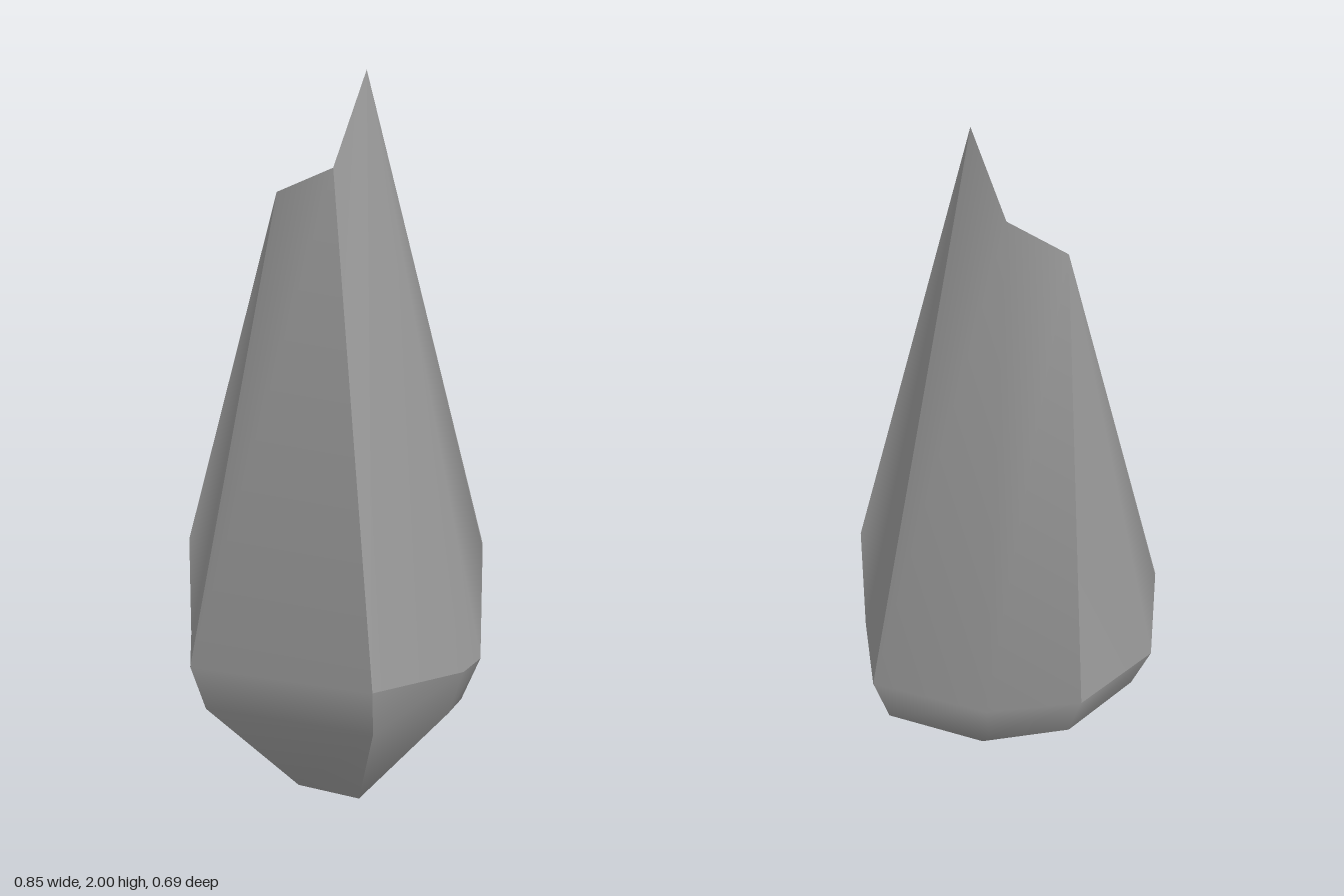
import * as THREE from 'three';

const v = (x, y, z) => new THREE.Vector3(x, y, z);

export function createModel() {
  const group = new THREE.Group();
  group.name = 'crystal';
  const material = new THREE.MeshStandardMaterial({ color: 0x969696 });

  // Widest level [x, z], counter-clockwise from the front
  const girdle = [
    [0.203, 0.345], [0.402, 0.115], [0.425, -0.01], [0.34, -0.28],
    [0, -0.348], [-0.257, -0.265], [-0.427, -0.01], [-0.332, 0.27],
  ].map(([x, z]) => v(x, 0.39, z));
  // Narrower level below it
  const lower = [
    [0.2, 0.325], [0.36, 0.11], [0.372, -0.01], [0.3, -0.265],
    [0, -0.312], [-0.22, -0.24], [-0.372, 0], [-0.295, 0.25],
  ].map(([x, z]) => v(x, 0.265, z));

  // Thin upright ridges at the two side corners: [edge on side i - 1, edge on side i]
  const ridges = {
    2: [v(0.425, 0.72, -0.006), v(0.425, 0.72, -0.014)],
    6: [v(-0.427, 0.675, -0.014), v(-0.427, 0.675, -0.006)],
  };

  // Broken tip
  const apex = v(0.088, 2, -0.025);
  const notch = v(0, 1.74, -0.008);
  const chip = v(-0.165, 1.67, -0.027);
  const tips = [apex, apex, apex, notch, chip, chip, chip, notch];

  // Small triangular foot
  const footA = v(0.115, 0, 0.14);
  const footB = v(0.07, 0, -0.035);
  const footC = v(-0.075, 0, 0.09);
  const feet = [footA, footA, footA, footB, footB, footC, footC, footC];

  const n = girdle.length;

  // Triangles from one girdle side up to the tip
  const upperSide = (i) => {
    const j = (i + 1) % n;
    const tris = [[girdle[i], girdle[j], tips[i]]];
    if (ridges[j]) tris.push([girdle[j], ridges[j][0], tips[i]]);
    if (ridges[i]) tris.push([girdle[i], tips[i], ridges[i][1]]);
    return tris;
  };

  // Sliver between two tip points; it takes on the shading of its facet
  const sliver = (i) => [girdle[i], tips[i], tips[(i + n - 1) % n]];

  // Triangles from one girdle side down to the foot
  const lowerSide = (i) => {
    const j = (i + 1) % n;
    return [
      [lower[i], lower[j], girdle[j]], [lower[i], girdle[j], girdle[i]],
      [feet[i], feet[j], lower[j]], [feet[i], lower[j], lower[i]],
    ];
  };

  // Each facet is smooth inside (normals weighted by corner angle), sharp at its border
  const addFacet = (name, tris, slivers = []) => {
    const solid = ([a, b, c]) => a !== b && b !== c && c !== a;
    const main = tris.filter(solid);
    const normals = new Map();
    const average = v(0, 0, 0);
    for (const tri of main) {
      const face = new THREE.Triangle(...tri);
      const normal = face.getNormal(v(0, 0, 0));
      average.addScaledVector(normal, face.getArea());
      tri.forEach((p, k) => {
        const toNext = tri[(k + 1) % 3].clone().sub(p);
        const toLast = tri[(k + 2) % 3].clone().sub(p);
        if (!normals.has(p)) normals.set(p, v(0, 0, 0));
        normals.get(p).addScaledVector(normal, toNext.angleTo(toLast));
      });
    }
    const points = [...main, ...slivers.filter(solid)].flat();
    const pointNormals = points.map((p) => (normals.get(p) ?? average).clone().normalize());
    const geometry = new THREE.BufferGeometry().setFromPoints(points);
    geometry.setAttribute('normal',
      new THREE.Float32BufferAttribute(pointNormals.flatMap((p) => p.toArray()), 3));
    const mesh = new THREE.Mesh(geometry, material);
    mesh.name = name;
    group.add(mesh);
  };

  const facets = [
    // name, upper sides, lower sides
    ['frontFacet', [7], [7]],
    ['leftFrontFacet', [0, 1], []],
    ['leftBackFacet', [2], []],
    ['backFacet', [3, 4], [3, 4, 5]],
    ['rightBackFacet', [5], []],
    ['rightFrontFacet', [6], []],
    ['leftUnderside', [], [0, 1, 2]],
    ['rightUnderside', [], [6]],
  ];
  for (const [name, uppers, lowers] of facets) {
    addFacet(name, [...uppers.flatMap(upperSide), ...lowers.flatMap(lowerSide)], uppers.map(sliver));
  }

  // Narrow outer edges that close the ridges
  for (const [name, i] of [['leftRidge', 2], ['rightRidge', 6]]) {
    const [first, second] = ridges[i];
    addFacet(name, [[girdle[i], second, first]]);
    addFacet(name + 'Top', [[first, second, tips[i]]]);
  }

  addFacet('foot', [[footA, footC, footB]]);
  return group;
}
